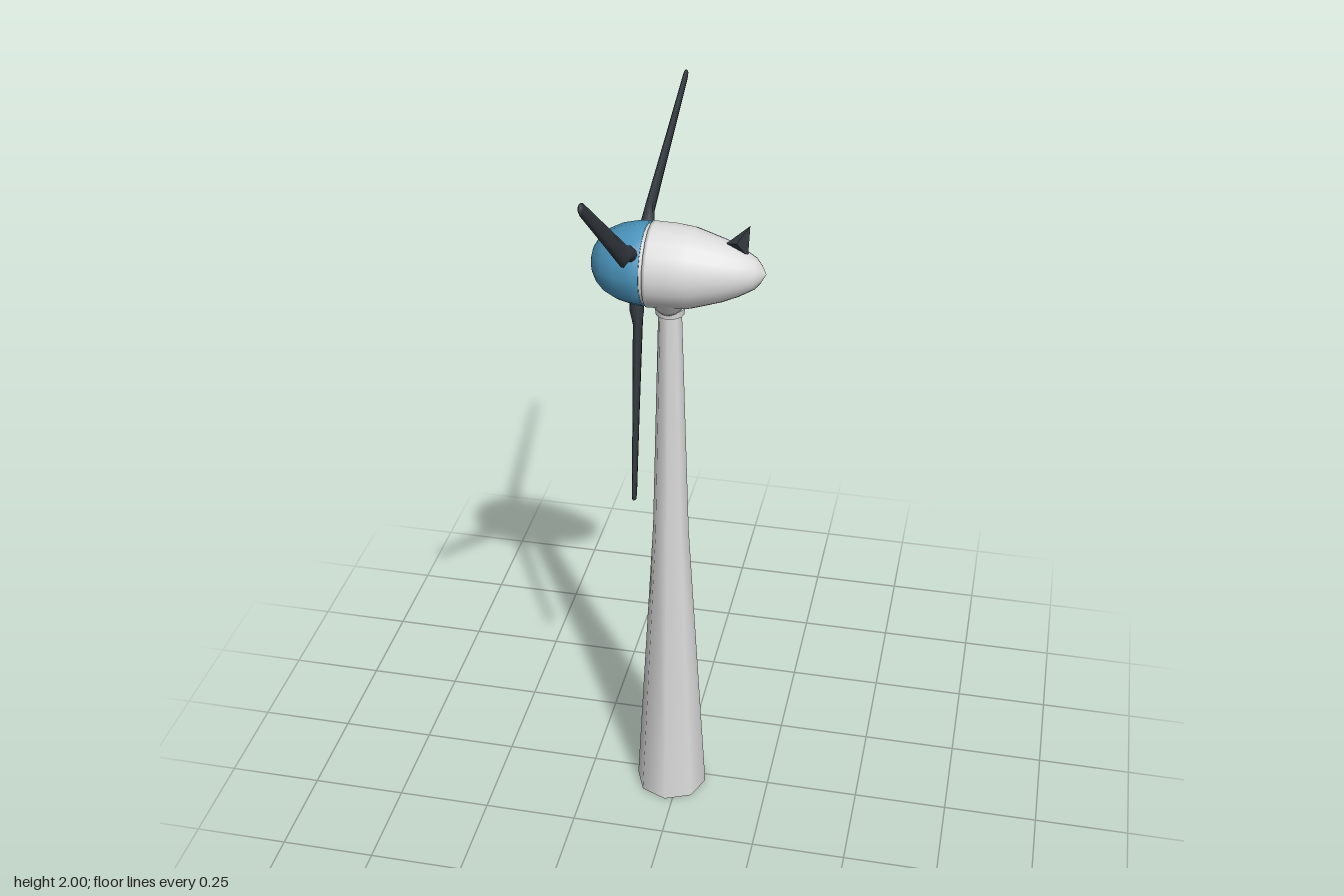
import * as THREE from 'three';

const white = new THREE.MeshStandardMaterial({ name: 'offWhite', color: 0xdcdcdc });
const blue = new THREE.MeshStandardMaterial({ name: 'hubBlue', color: 0x4a93bb });
const dark = new THREE.MeshStandardMaterial({ name: 'bladeCharcoal', color: 0x353b41 });

const AXIS_Y = 1.615, AXIS_Z = 0.026, TOWER_X = -0.021;

function addMesh(parent, name, geometry, material) {
  const mesh = new THREE.Mesh(geometry, material);
  mesh.name = name;
  parent.add(mesh);
  return mesh;
}

// Lathe from [radius, height] pairs, bottom to top
function lathe(points, sides) {
  return new THREE.LatheGeometry(points.map(([r, y]) => new THREE.Vector2(r, y)), sides);
}

// Lathe whose axis lies along x
function latheX(points, sides) {
  return lathe(points, sides).rotateZ(-Math.PI / 2);
}

// Blade along +y, lofted through [distance, rear edge, front edge, half thickness]
function bladeGeometry() {
  const stations = [
    [0.06, -0.018, 0.018, 0.018], [0.122, -0.018, 0.018, 0.018],
    [0.158, -0.012, 0.043, 0.011], [0.4, -0.01, 0.031, 0.008],
    [0.62, -0.008, 0.021, 0.006], [0.634, -0.004, 0.017, 0.005],
    [0.635, 0.006, 0.006, 0],
  ];
  const n = 10, position = [], index = [];
  stations.forEach(([y, z0, z1, t], j) => {
    for (let i = 0; i < n; i++) {
      const a = (i / n) * Math.PI * 2;
      position.push(t * Math.cos(a), y, (z0 + z1) / 2 + ((z1 - z0) / 2) * Math.sin(a));
      if (j === stations.length - 1) continue;
      const p = j * n + i, q = j * n + ((i + 1) % n);
      index.push(p, p + n, q, q, p + n, q + n);
    }
  });
  const g = new THREE.BufferGeometry();
  g.setAttribute('position', new THREE.Float32BufferAttribute(position, 3));
  g.setIndex(index);
  g.computeVertexNormals();
  return g;
}

// Raked four-sided spike on a diamond base
function finGeometry() {
  const front = [0.112, 0.07, 0], back = [0.166, 0.04, 0], tip = [0.17, 0.122, 0];
  const left = [0.142, 0.083, 0.02], right = [0.142, 0.083, -0.02];
  const faces = [front, left, tip, left, back, tip, back, right, tip, right, front, tip,
    front, back, left, front, right, back];
  const g = new THREE.BufferGeometry();
  g.setAttribute('position', new THREE.Float32BufferAttribute(faces.flat(), 3));
  g.computeVertexNormals();
  return g;
}

export function createModel() {
  const model = new THREE.Group();
  model.name = 'windTurbine';

  // Tower with a closed foot
  const tower = new THREE.Group();
  tower.name = 'tower';
  tower.position.set(TOWER_X, 0, AXIS_Z);
  model.add(tower);
  addMesh(tower, 'towerShaft', lathe([[0.097, 0], [0.047, 0.86], [0.029, 1.5]], 8), white);
  addMesh(tower, 'towerFoot', new THREE.CircleGeometry(0.097, 8).rotateX(Math.PI / 2), white);

  // Collar and flared neck under the housing
  addMesh(tower, 'collar', new THREE.CylinderGeometry(0.037, 0.035, 0.018, 16).translate(0, 1.497, 0), white);
  const neck = addMesh(tower, 'neck', lathe([[0, 1.495], [0.038, 1.5], [0.054, 1.515], [0.084, 1.556]], 16), white);
  neck.scale.x = 0.72;

  // Everything around the rotor axis
  const head = new THREE.Group();
  head.name = 'head';
  head.position.set(0, AXIS_Y, AXIS_Z);
  model.add(head);

  addMesh(head, 'housing', latheX([
    [0.09, -0.07], [0.104, -0.068], [0.104, -0.06], [0.103, -0.01], [0.098, 0.035],
    [0.076, 0.108], [0.058, 0.15], [0.038, 0.185], [0.02, 0.2], [0, 0.211],
  ], 20), white);
  addMesh(head, 'bearingRing', latheX([[0.097, -0.08], [0.097, -0.066]], 20), white);
  addMesh(head, 'hub', latheX([
    [0.034, -0.205], [0.055, -0.193], [0.076, -0.172], [0.092, -0.14],
    [0.1, -0.105], [0.103, -0.077], [0.09, -0.077],
  ], 16), blue);
  addMesh(head, 'noseCap', latheX([[0, -0.214], [0.034, -0.205]], 16), white);
  addMesh(head, 'rearFin', finGeometry(), dark);

  // Three blades, evenly spaced
  const rotor = new THREE.Group();
  rotor.name = 'rotor';
  rotor.position.x = -0.1;
  head.add(rotor);
  const blade = bladeGeometry();
  for (let i = 0; i < 3; i++) {
    addMesh(rotor, 'blade' + (i + 1), blade, dark).rotation.x = THREE.MathUtils.degToRad(53 + i * 120);
  }
  return model;
}
